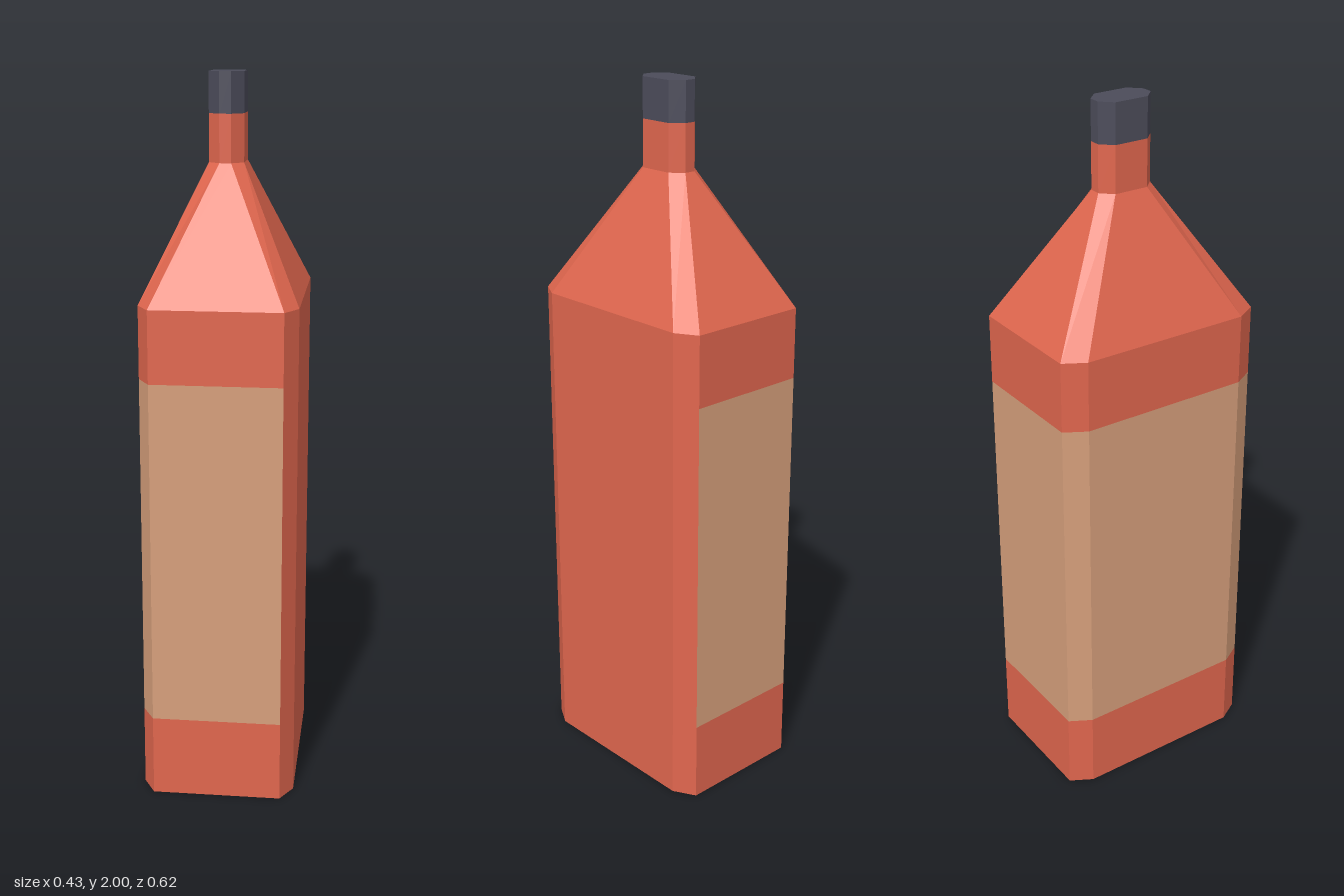
import * as THREE from 'three';

// Chamfered-rectangle outline, starting at the front side and turning towards +x
const outline = (x, z, cx, cz) => [
  [-cx, z], [cx, z], [x, cz], [x, -cz], [cx, -z], [-cx, -z], [-x, -cz], [-x, cz],
];
const BODY = outline(0.215, 0.312, 0.18, 0.25);
const NECK = outline(0.048, 0.082, 0.016, 0.05);
const ALL_SIDES = [0, 1, 2, 3, 4, 5, 6, 7];
const LABEL_SIDES = [4, 5, 6, 7, 0]; // back, -x side, front and the chamfers between
const PLAIN_SIDES = [1, 2, 3];

// Flat-faced wall between two outlines, with optional end faces
function band(lower, y0, upper, y1, { sides = ALL_SIDES, bottom = false, top = false } = {}) {
  const pos = [];
  const lo = (i) => [lower[i % 8][0], y0, lower[i % 8][1]];
  const hi = (i) => [upper[i % 8][0], y1, upper[i % 8][1]];
  const tri = (a, b, c) => pos.push(...a, ...b, ...c);
  for (const i of sides) {
    tri(lo(i), lo(i + 1), hi(i + 1));
    tri(lo(i), hi(i + 1), hi(i));
  }
  for (let i = 1; i < 7; i++) {
    if (bottom) tri(lo(0), lo(i + 1), lo(i));
    if (top) tri(hi(0), hi(i), hi(i + 1));
  }
  const geo = new THREE.BufferGeometry();
  geo.setAttribute('position', new THREE.Float32BufferAttribute(pos, 3));
  geo.computeVertexNormals();
  return geo;
}

export function createModel() {
  const material = (name, color) => {
    const m = new THREE.MeshStandardMaterial({ color });
    m.name = name;
    return m;
  };
  const red = material('red glass', 0xe0664e);
  const tan = material('tan label', 0xd69f7b);
  const dark = material('dark cap', 0x4c4c5a);

  const bottle = new THREE.Group();
  bottle.name = 'bottle';
  const add = (name, geo, mat) => {
    const mesh = new THREE.Mesh(geo, mat);
    mesh.name = name;
    bottle.add(mesh);
  };

  // Body, with the label wrapped around three sides
  add('bodyBase', band(BODY, 0, BODY, 0.23, { bottom: true }), red);
  add('bodySide', band(BODY, 0.23, BODY, 1.2, { sides: PLAIN_SIDES }), red);
  add('label', band(BODY, 0.23, BODY, 1.2, { sides: LABEL_SIDES }), tan);
  add('bodyTop', band(BODY, 1.2, BODY, 1.4), red);

  // Shoulder, neck and cap
  add('shoulder', band(BODY, 1.4, NECK, 1.76), red);
  add('neck', band(NECK, 1.76, NECK, 1.89), red);
  add('cap', band(NECK, 1.89, NECK, 2, { top: true }), dark);

  return bottle;
}
